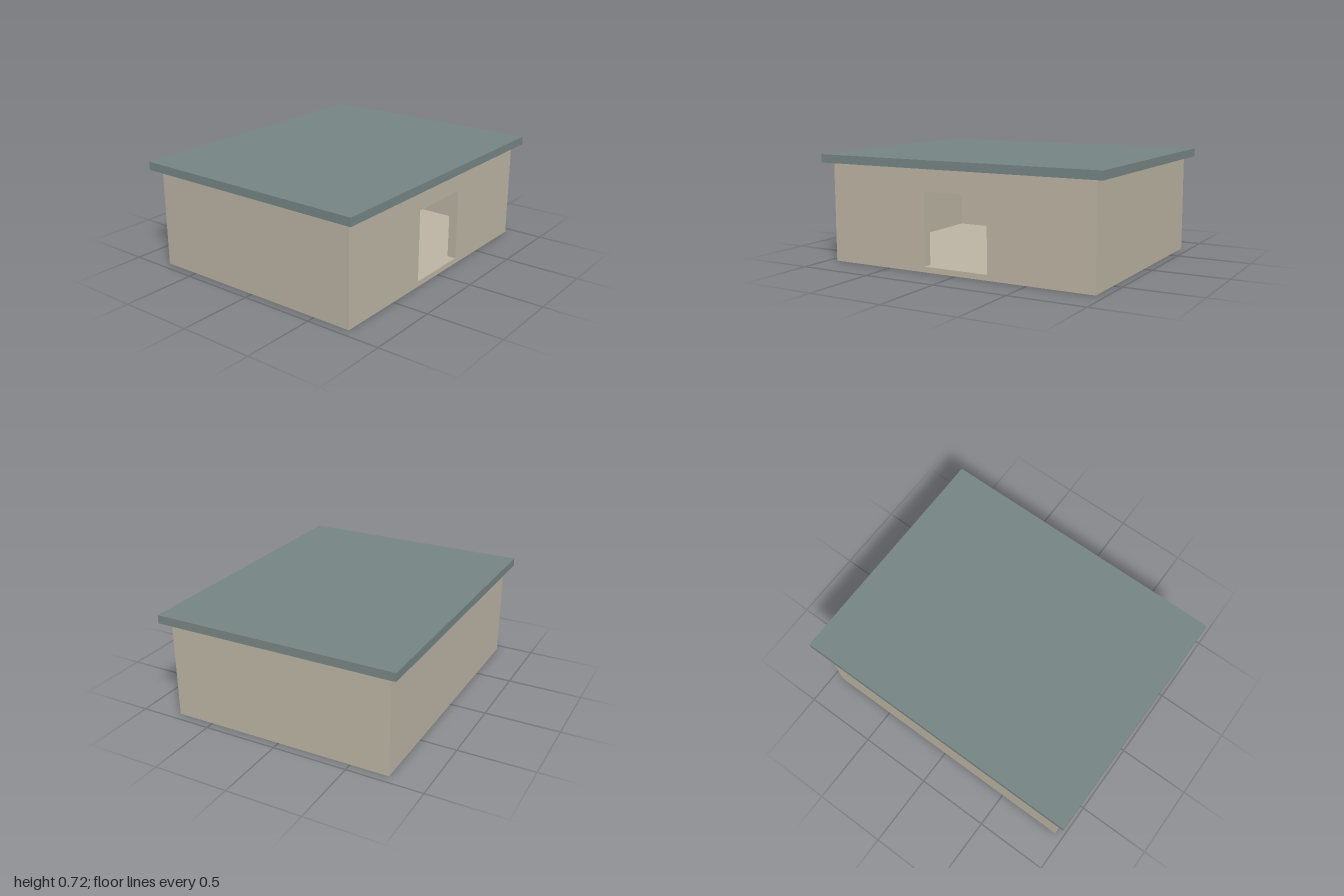
import * as THREE from 'three';
import { mergeGeometries } from 'three/addons/utils/BufferGeometryUtils.js';

const W = 1.884, D = 1.51, H = 0.662;      // outer walls
const T = 0.06, FLOOR = 0.037;             // wall and floor thickness
const DOOR_W = 0.455, DOOR_TOP = 0.515;
const ROOF_W = 2, ROOF_D = 1.622, ROOF_H = 0.055;

// Rectangle standing from y0 to y1 at distance d, facing outward along angle ry
function wall(width, y0, y1, d, ry, inward = false, door = false) {
  const shape = new THREE.Shape([
    new THREE.Vector2(-width / 2, y0), new THREE.Vector2(width / 2, y0),
    new THREE.Vector2(width / 2, y1), new THREE.Vector2(-width / 2, y1),
  ]);
  if (door) {
    // An inner wall starts at floor level, so its hole is cut as a notch
    const a = DOOR_W / 2;
    if (y0 >= FLOOR) {
      shape.setFromPoints([
        [-width / 2, y0], [-a, y0], [-a, DOOR_TOP], [a, DOOR_TOP], [a, y0],
        [width / 2, y0], [width / 2, y1], [-width / 2, y1],
      ].map(([x, y]) => new THREE.Vector2(x, y)));
    } else {
      shape.holes.push(new THREE.Path([
        [-a, FLOOR], [-a, DOOR_TOP], [a, DOOR_TOP], [a, FLOOR],
      ].map(([x, y]) => new THREE.Vector2(x, y))));
    }
  }
  const g = new THREE.ShapeGeometry(shape);
  if (inward) g.rotateY(Math.PI);
  return g.translate(0, 0, d).rotateY(ry);
}

// Horizontal rectangle facing up (dir 1) or down (dir -1)
function slab(w, d, y, z, dir) {
  return new THREE.PlaneGeometry(w, d).rotateX(-dir * Math.PI / 2).translate(0, y, z);
}

export function createModel() {
  const model = new THREE.Group();
  model.name = 'building';
  const wallMat = new THREE.MeshStandardMaterial({ color: 0xbbb3a3 });
  const roofMat = new THREE.MeshStandardMaterial({ color: 0x768483 });

  const parts = [];
  // Outer and inner wall faces, the front pair with the doorway
  for (let i = 0; i < 4; i++) {
    const ry = i * Math.PI / 2;
    const [span, depth] = i % 2 ? [D, W] : [W, D];
    parts.push(wall(span, 0, H, depth / 2, ry, false, i === 0));
    parts.push(wall(span - 2 * T, FLOOR, H, depth / 2 - T, ry, true, i === 0));
  }
  // Underside and room floor
  parts.push(slab(W, D, 0, 0, -1));
  parts.push(slab(W - 2 * T, D - 2 * T, FLOOR, 0, 1));
  // Doorway sill, head and jambs
  const revealZ = D / 2 - T / 2;
  parts.push(slab(DOOR_W, T, FLOOR, revealZ, 1));
  parts.push(slab(DOOR_W, T, DOOR_TOP, revealZ, -1));
  for (const side of [-1, 1]) {
    parts.push(new THREE.PlaneGeometry(T, DOOR_TOP - FLOOR)
      .rotateY(-side * Math.PI / 2)
      .translate(side * DOOR_W / 2, (DOOR_TOP + FLOOR) / 2, revealZ));
  }
  const walls = new THREE.Mesh(mergeGeometries(parts), wallMat);
  walls.name = 'walls';
  model.add(walls);

  // Flat overhanging roof, which also closes the room
  const roof = new THREE.Mesh(new THREE.BoxGeometry(ROOF_W, ROOF_H, ROOF_D), roofMat);
  roof.position.y = H + ROOF_H / 2;
  roof.name = 'roof';
  model.add(roof);

  return model;
}
